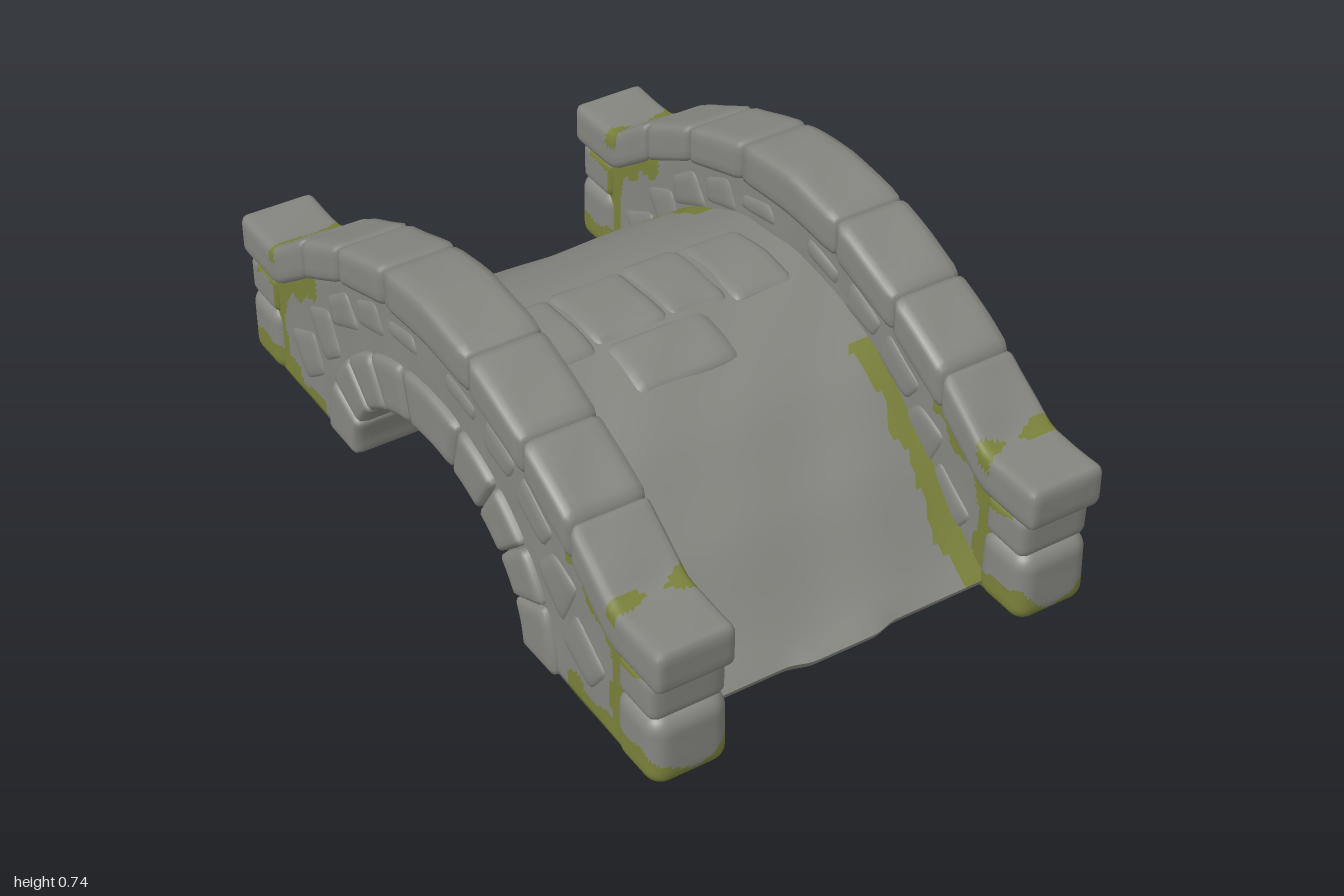
import * as THREE from 'three';
import { mergeVertices, toCreasedNormals } from 'three/addons/utils/BufferGeometryUtils.js';

const stoneMat = new THREE.MeshStandardMaterial({ color: 0x858580 });
stoneMat.name = 'grey stone';
const mossMat = new THREE.MeshStandardMaterial({ color: 0x79803a });
mossMat.name = 'moss green';

// Smooth wobble between -1 and 1
const wobble = (x, y, z) =>
  (Math.sin(x * 17 + z * 9 + 1) + Math.sin(y * 23 - z * 14 + 2) + Math.sin(z * 31 + x * 26 + y * 11)) / 3;

// Height curve, mirrored about z = 0 and slightly smoothed
function heightCurve(points, soft) {
  const linear = (z) => {
    const a = Math.abs(z);
    let i = 1;
    while (i < points.length - 1 && a > points[i][0]) i++;
    const [z0, y0] = points[i - 1], [z1, y1] = points[i];
    return y0 + (y1 - y0) * Math.min(1, (a - z0) / (z1 - z0));
  };
  return (z) => (linear(z - soft) + 2 * linear(z) + linear(z + soft)) / 4;
}
const copingTop = heightCurve([[0, 0.74], [0.2, 0.715], [0.44, 0.635], [0.64, 0.54], [0.81, 0.415], [1, 0.415]], 0.025);
const copingBottom = heightCurve([[0, 0.615], [0.2, 0.6], [0.44, 0.525], [0.64, 0.42], [0.81, 0.3], [1, 0.3]], 0.025);
const deckTop = heightCurve([[0, 0.52], [0.2, 0.5], [0.4, 0.415], [0.6, 0.265], [0.84, 0.03]], 0.06);

// Sort triangles into plain stone and moss by a test on their centre
function paint(geo, isMoss) {
  const p = geo.attributes.position;
  const src = geo.index ? Array.from(geo.index.array) : Array.from({ length: p.count }, (_, i) => i);
  const plain = [], moss = [];
  for (let i = 0; i < src.length; i += 3) {
    const tri = src.slice(i, i + 3);
    const mid = ['getX', 'getY', 'getZ'].map((get) => tri.reduce((sum, k) => sum + p[get](k), 0) / 3);
    (isMoss(...mid) ? moss : plain).push(...tri);
  }
  geo.clearGroups();
  geo.setIndex([...plain, ...moss]);
  geo.addGroup(0, plain.length, 0);
  geo.addGroup(plain.length, moss.length, 1);
  return geo;
}

// Rounded block whose side outline follows map(s, t) -> [z, y]
function block(name, { cx, size, map, r = 0.022, seg = [8, 8, 8], moss, rough = 0.003 }) {
  let geo = new THREE.BoxGeometry(...size, ...seg);
  geo.deleteAttribute('uv');
  geo.deleteAttribute('normal');
  geo = mergeVertices(geo);
  const p = geo.attributes.position;
  const v = new THREE.Vector3(), c = new THREE.Vector3();
  const inner = new THREE.Vector3(...size).multiplyScalar(0.5).subScalar(r);
  for (let i = 0; i < p.count; i++) {
    v.fromBufferAttribute(p, i);
    c.copy(v).clamp(inner.clone().negate(), inner);
    v.sub(c);
    if (v.length() > 1e-6) v.setLength(r);
    v.add(c);
    const [z, y] = map(v.z / size[2] + 0.5, v.y / size[1] + 0.5);
    const n = rough * wobble(v.x + cx, y, z);
    p.setXYZ(i, cx + v.x * (1 + n * 4), Math.max(0, y + n), THREE.MathUtils.clamp(z + n, -1, 1));
  }
  geo.computeVertexNormals();
  const mesh = new THREE.Mesh(moss ? paint(geo, moss) : geo, moss ? [stoneMat, mossMat] : stoneMat);
  mesh.name = name;
  return mesh;
}
const rect = (z0, z1, y0, y1) => (s, t) => [z0 + (z1 - z0) * s, y0 + (y1 - y0) * t];

// Walkway with a vaulted underside, thinning to a lip at each end
function deck() {
  const pts = [];
  for (let i = 0; i <= 70; i++) {
    const z = 0.84 - i * 0.024;
    pts.push(new THREE.Vector2(z, deckTop(z)));
  }
  pts.push(new THREE.Vector2(-0.83, 0.025), new THREE.Vector2(-0.56, 0.01));
  for (let i = 0; i <= 32; i++) {
    const a = Math.PI * (1 - i / 32);
    pts.push(new THREE.Vector2(0.416 * Math.cos(a), 0.01 + 0.32 * Math.sin(a)));
  }
  pts.push(new THREE.Vector2(0.56, 0.01), new THREE.Vector2(0.83, 0.025));
  let geo = new THREE.ExtrudeGeometry(new THREE.Shape(pts), { depth: 0.84, steps: 56, bevelEnabled: false });
  geo.translate(0, 0, -0.42).rotateY(-Math.PI / 2);
  const p = geo.attributes.position;
  for (let i = 0; i < p.count; i++) {
    const x = p.getX(i), y = p.getY(i), z = p.getZ(i);
    const lip = Math.abs(z) > 0.82 ? 0.018 * (1 - THREE.MathUtils.smoothstep(Math.abs(x), 0.08, 0.16)) : 0;
    p.setY(i, y + (y > 0.06 ? 0.007 * wobble(x * 0.7, y, z * 0.7) : 0));
    p.setZ(i, z + Math.sign(z) * lip);
  }
  geo = toCreasedNormals(geo, 0.7);
  const moss = (x, y, z) => {
    if (y < deckTop(z) - 0.02 || y < 0.04) return false;
    const bare = x > 0 ? Math.abs(z) < 0.33 : (z > -0.36 && z < -0.16) || (z > 0.35 && z < 0.42);
    const spread = z < -0.79 ? 0.03 : 0;
    return !bare && Math.abs(x) > 0.356 - spread + 0.024 * wobble(x, y * 2, z * 1.6);
  };
  const mesh = new THREE.Mesh(paint(geo, moss), [stoneMat, mossMat]);
  mesh.name = 'deck';
  return mesh;
}

// One parapet side wall with its arch ring, coping and end posts
function parapet(side) {
  const g = new THREE.Group();
  g.name = side > 0 ? 'leftParapet' : 'rightParapet';
  const cx = side * 0.505;

  // Spandrel wall above the arch
  const archY = (z) => 0.01 + (Math.abs(z) < 0.49 ? 0.4 * Math.sqrt(1 - (z / 0.49) ** 2) : 0);
  g.add(block('spandrelWall', {
    cx, size: [0.172, 0.4, 1.7], r: 0.008, seg: [2, 26, 120], rough: 0.008,
    map: (s, t) => {
      const z = -0.85 + 1.7 * s, low = archY(z);
      return [z, low + (copingBottom(z) + 0.02 - low) * t];
    },
    moss: (x, y, z) => {
      const a = Math.abs(z), w = wobble(x, y * 2, z * 2);
      if (a < 0.6) return false;
      return y < 0.065 + 0.03 * w || a > 0.79 + 0.02 * w || y > copingBottom(z) - 0.045 + 0.03 * w;
    },
  }));

  // Irregular rubble stones barely standing out of the wall
  const rubble = [[0.67, 0.17, 0.17, 0.15], [0.56, 0.3, 0.15, 0.16], [0.46, 0.43, 0.17, 0.11],
    [0.31, 0.505, 0.15, 0.1], [0.14, 0.55, 0.16, 0.07]];
  for (const end of [1, -1]) for (const [z, y, w, h] of rubble) {
    const tilt = end * -0.55 * Math.min(1, z / 0.5);
    const skew = 0.35 * Math.sin(z * 40 + end);
    g.add(block('rubbleStone', {
      cx, size: [0.186, h, w], r: 0.03, seg: [6, 8, 8], rough: 0.008,
      map: (s, t) => {
        const dz = (s - 0.5) * w * (1 + skew * (t - 0.5)), dy = (t - 0.5) * h * (1 - skew * (s - 0.5));
        return [end * z + dz * Math.cos(tilt) - dy * Math.sin(tilt), y + dz * Math.sin(tilt) + dy * Math.cos(tilt)];
      },
      moss: (x, py, pz) => Math.abs(pz) > 0.6 && py > copingBottom(pz) - 0.045,
    }));
  }

  // Wedge stones round the arch
  const joints = [-1.57, -1.17, -0.87, -0.57, -0.25, 0.25, 0.57, 0.87, 1.17, 1.57];
  for (let i = 0; i < 9; i++) {
    const a0 = joints[i], a1 = joints[i + 1];
    g.add(block('archStone', {
      cx, size: [0.208, 0.155, (a1 - a0) * 0.45], r: 0.02,
      map: (s, t) => {
        const a = a0 + (a1 - a0) * s;
        return [(0.41 + 0.15 * t) * Math.sin(a), 0.01 + (0.315 + 0.155 * t) * Math.cos(a)];
      },
    }));
  }

  // Coping stones following the hump, ending in level caps
  const cuts = [-1, -0.64, -0.44, -0.2, 0.2, 0.44, 0.64, 1];
  for (let i = 0; i < 7; i++) {
    const z0 = cuts[i], z1 = cuts[i + 1], cap = i === 0 || i === 6;
    g.add(block(cap ? 'endCap' : 'copingStone', {
      cx, size: [0.208, 0.12, z1 - z0], r: 0.02, seg: cap ? [16, 6, 30] : [8, 6, 10],
      map: (s, t) => {
        const z = z0 + (z1 - z0) * s, low = copingBottom(z);
        return [z, low + (copingTop(z) - low) * t];
      },
      moss: cap && ((x, y, z) => y > copingBottom(z) + 0.07
        && Math.abs(Math.abs(z) - 0.815) < 0.25 * Math.abs(x - cx + 0.01) + 0.014 * wobble(x * 2, y, z)),
    }));
  }

  // Two-block posts at each end
  for (const end of [1, -1]) {
    const span = (a, b, y0, y1) => rect(Math.min(end * a, end * b), Math.max(end * a, end * b), y0, y1);
    g.add(block('postBase', {
      cx, size: [0.205, 0.2, 0.17], r: 0.045, seg: [18, 18, 18], map: span(0.815, 0.987, 0.003, 0.205),
      moss: (x, y, z) => y < 0.035 + 6 * (x - cx) ** 2 + 0.02 * wobble(x * 2, y, z * 2)
        || Math.abs(z) < 0.825,
    }));
    g.add(block('postTop', {
      cx, size: [0.198, 0.12, 0.15], r: 0.025, seg: [10, 12, 10], map: span(0.825, 0.972, 0.195, 0.312),
      moss: (x, y, z) => Math.abs(z) < 0.84 + 0.008 * wobble(x, y, z)
        || (Math.abs(z) < 0.93 && y > 0.285 + 0.012 * wobble(x, y, z * 2)),
    }));
  }
  return g;
}

// Worn paving slabs barely raised from the crown of the deck: x0, x1, z0, z1
function paving() {
  const g = new THREE.Group();
  g.name = 'paving';
  const slabs = [[-0.36, -0.2, -0.14, 0.12], [-0.2, 0.01, -0.15, 0.1], [0.01, 0.18, -0.16, 0.1], [0.18, 0.36, -0.15, 0.12],
    [-0.19, 0.1, 0.1, 0.27]];
  for (const [x0, x1, z0, z1] of slabs) {
    g.add(block('pavingSlab', {
      cx: (x0 + x1) / 2, size: [x1 - x0, 0.05, z1 - z0], r: 0.022, seg: [10, 3, 10], rough: 0.005,
      map: (s, t) => {
        const z = z0 + (z1 - z0) * s;
        return [z, deckTop(z) - 0.042 + 0.05 * t];
      },
    }));
  }
  return g;
}

export function createModel() {
  const bridge = new THREE.Group();
  bridge.name = 'stoneBridge';
  bridge.add(deck(), paving(), parapet(1), parapet(-1));
  return bridge;
}
